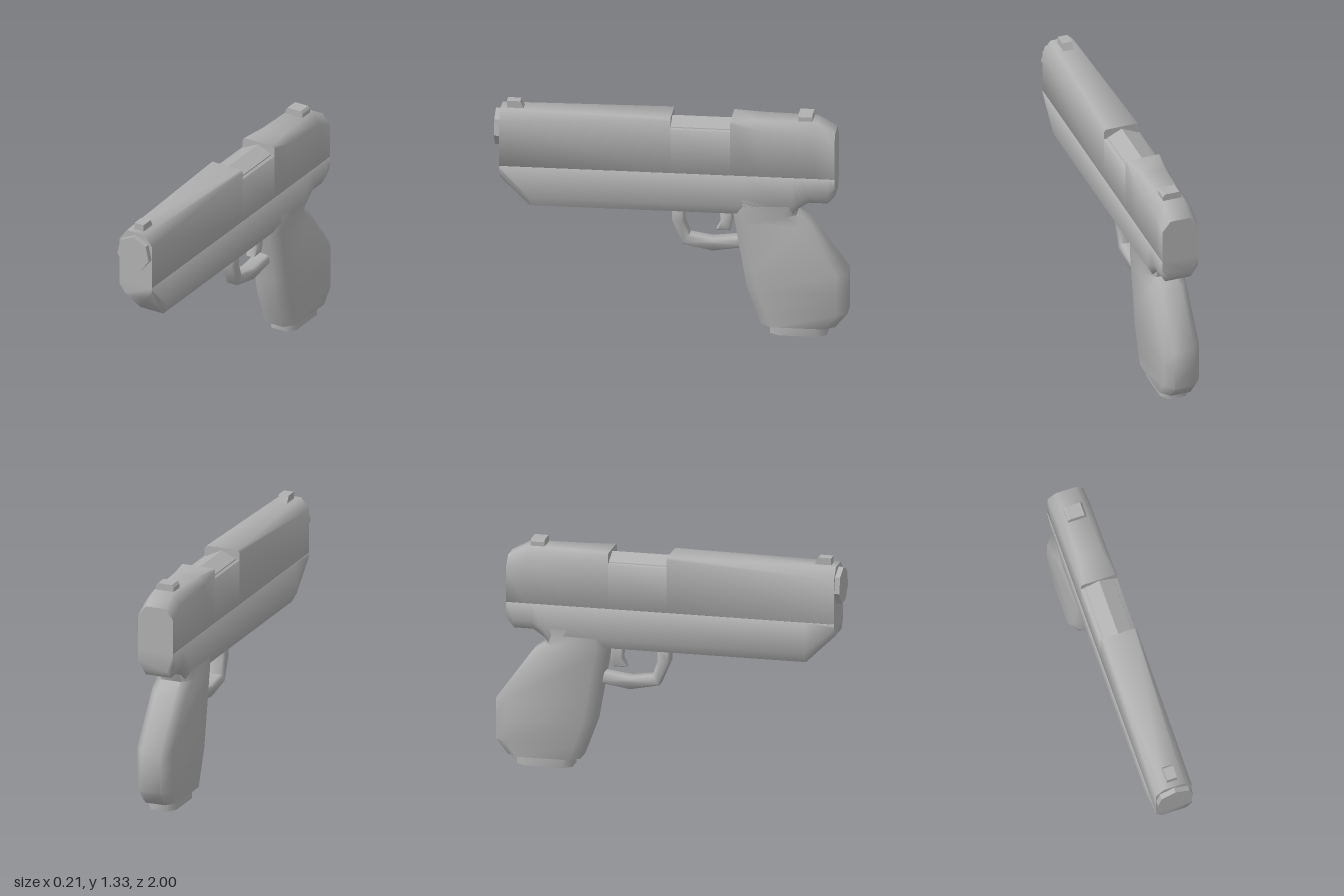
import * as THREE from 'three';
import { toCreasedNormals } from 'three/addons/utils/BufferGeometryUtils.js';

// Eight-sided section: half width, bottom, top, bottom and top chamfers [across, up], position
function section(w, b, t, cb, ct, z) {
  const [bx, by] = cb, [tx, ty] = ct;
  return [
    [-w + bx, b, z], [w - bx, b, z], [w, b + by, z], [w, t - ty, z],
    [w - tx, t, z], [-w + tx, t, z], [-w, t - ty, z], [-w, b + by, z],
  ];
}

// Closed skin over sections ordered from high z to low z
function loft(rings) {
  const n = rings[0].length, index = [], last = (rings.length - 1) * n;
  for (let i = 0; i < rings.length - 1; i++) {
    for (let j = 0; j < n; j++) {
      const k = (j + 1) % n;
      const a = i * n + j, b = i * n + k, c = b + n, d = a + n;
      index.push(a, d, b, b, d, c);
    }
  }
  for (let j = 1; j < n - 1; j++) {
    index.push(0, j, j + 1, last, last + j + 1, last + j);
  }
  const g = new THREE.BufferGeometry();
  g.setAttribute('position', new THREE.Float32BufferAttribute(rings.flat(2), 3));
  g.setIndex(index);
  return g;
}

// Side outline in (z, y), given a width across x
function sidePlate(points, width, bevel) {
  const shape = new THREE.Shape(points.map(([z, y]) => new THREE.Vector2(z, y)));
  const depth = width - 2 * bevel;
  const g = new THREE.ExtrudeGeometry(shape, {
    depth, bevelEnabled: bevel > 0, bevelSize: bevel, bevelThickness: bevel,
    bevelOffset: -bevel, bevelSegments: 1,
  });
  return g.translate(0, 0, -depth / 2).rotateY(-Math.PI / 2);
}

export function createModel() {
  const group = new THREE.Group();
  const grey = new THREE.MeshStandardMaterial({ color: 0xb0b0b0 });
  grey.name = 'grey';
  const add = (name, geometry, crease = 1.05) => {
    const mesh = new THREE.Mesh(toCreasedNormals(geometry, crease), grey);
    mesh.name = name;
    group.add(mesh);
  };
  const W = 0.107, sharp = [0.001, 0.001];

  // Slide: chamfered at both ends, squarer beside the open port
  add('slide', loft([
    [0.97, 1.285, [0.047, 0.065]],
    [0, 1.285, [0.012, 0.015]],
    [0, 1.225, sharp],
    [-0.34, 1.225, sharp],
    [-0.34, 1.285, [0.012, 0.015]],
    [-0.5, 1.285, [0.035, 0.05]],
    [-0.82, 1.285, [0.047, 0.065]],
    [-0.93, 1.225, [0.047, 0.06]],
  ].map(([z, top, c]) => section(W, 0.96, top, sharp, c, z))));

  // Seven-sided barrel, seen at the muzzle and through the port
  const barrel = new THREE.CylinderGeometry(0.107, 0.107, 1.34, 7);
  barrel.rotateX(Math.PI / 2).rotateZ(Math.PI);
  barrel.computeBoundingBox();
  // Turn one corner straight up
  if (barrel.boundingBox.max.y < 0.106) barrel.rotateZ(Math.PI);
  add('barrel', barrel.translate(0, 1.164, 0.33), 0.6);

  // Frame with sloped nose and raised rear tang
  add('frame', loft([
    [0.97, 0.885, [0.035, 0.05]],
    [0.8, 0.72, [0.03, 0.055]],
    [-0.4, 0.72, [0.03, 0.055]],
    [-0.69, 0.73, [0.03, 0.055]],
    [-0.72, 0.765, [0.03, 0.05]],
    [-0.78, 0.805, [0.03, 0.05]],
    [-0.89, 0.805, [0.03, 0.05]],
    [-0.93, 0.85, [0.035, 0.05]],
  ].map(([z, bottom, c]) => section(W, bottom, 0.96, c, sharp, z))));

  // Grip, lofted downward: height, front z, back z
  const edge = [0.047, 0.06];
  add('grip', loft([
    [0.82, -0.35, -0.74],
    [0.72, -0.35, -0.71],
    [0.67, -0.36, -0.79],
    [0.38, -0.41, -1],
    [0.27, -0.43, -1],
    [0.14, -0.478, -1],
    [0.055, -0.51, -0.93],
  ].map(([y, front, back]) => section(W, -front, -back, edge, edge, y)))
    .rotateX(-Math.PI / 2));

  // Base plate under the grip
  const baseEdge = [0.035, 0.05];
  add('basePlate', loft([0.07, 0].map(
    (y) => section(0.085, 0.56, 0.88, baseEdge, baseEdge, y)))
    .rotateX(-Math.PI / 2));

  // Trigger guard and trigger
  add('triggerGuard', sidePlate([
    [0, 0.74], [0, 0.65], [-0.06, 0.51], [-0.23, 0.475], [-0.42, 0.505],
    [-0.42, 0.57], [-0.23, 0.545], [-0.1, 0.565], [-0.07, 0.65], [-0.07, 0.74],
  ], 0.09, 0.012));
  add('trigger', sidePlate([
    [-0.27, 0.74], [-0.275, 0.65], [-0.25, 0.6], [-0.33, 0.6],
    [-0.345, 0.66], [-0.34, 0.74],
  ], 0.06, 0.008));

  // Sights
  add('frontSight', sidePlate([
    [0.935, 1.27], [0.935, 1.325], [0.86, 1.325], [0.84, 1.285], [0.84, 1.27],
  ], 0.06, 0), 0.3);
  add('rearSight', loft([-0.72, -0.8].map(
    (z) => section(0.055, 1.27, 1.325, sharp, [0.012, 0.015], z))), 0.3);

  return group;
}
